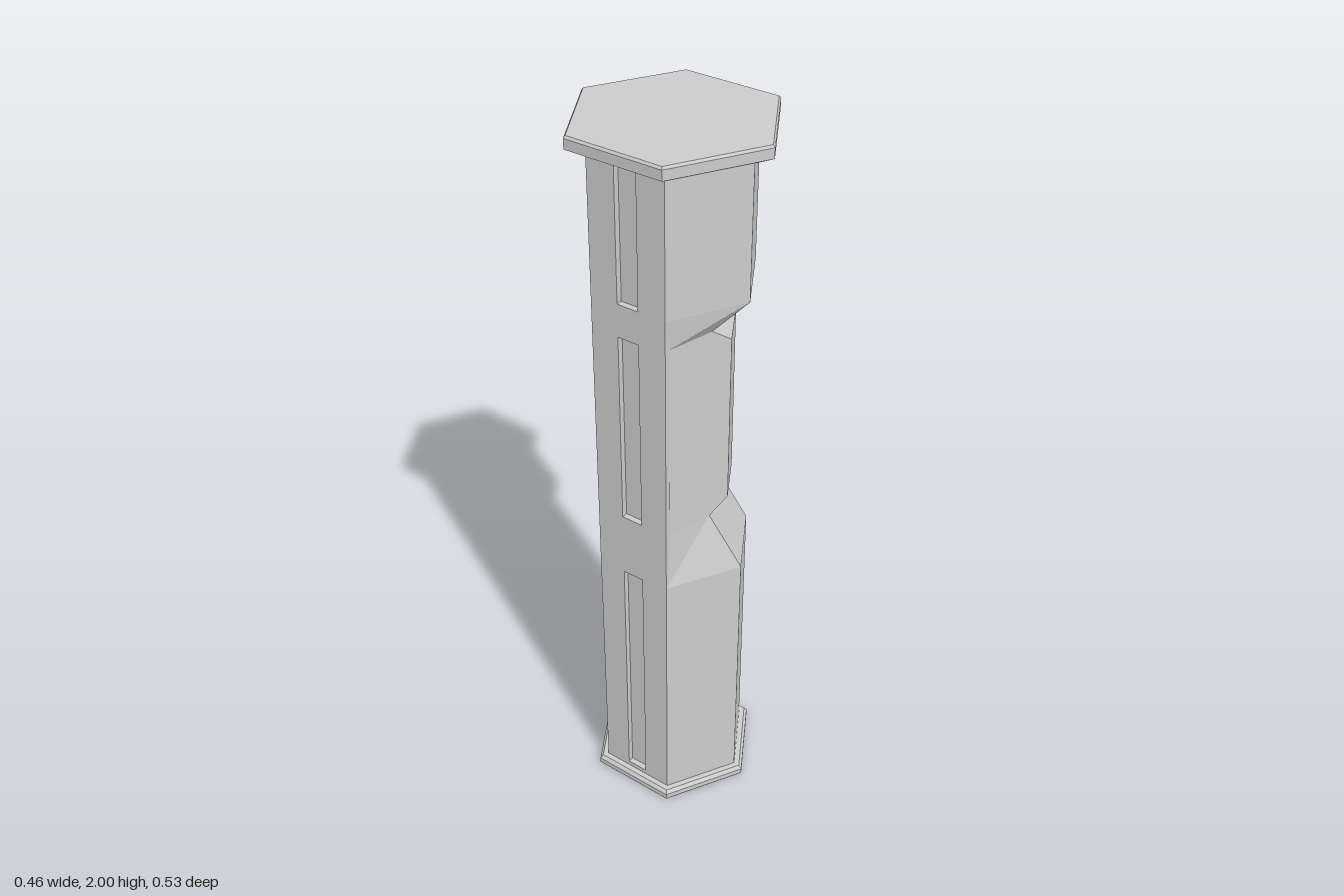
import * as THREE from 'three';

const R = 0.215;                 // circumradius of the hexagonal shaft, corners at +z and -z
const A = R * Math.sqrt(3) / 2;  // distance from axis to a flat
const DEPTH = 0.016;             // groove depth
const Y0 = 0.02, Y1 = 1.96;      // shaft ends

export function createModel() {
  const group = new THREE.Group();
  const mat = new THREE.MeshStandardMaterial({ color: 0xcccccc, flatShading: true });
  const add = (name, geo, parent = group) => {
    const mesh = new THREE.Mesh(geo, mat);
    mesh.name = name;
    parent.add(mesh);
    return mesh;
  };

  // Six-sided plates with bevelled rims
  const plate = (name, profile) =>
    add(name, new THREE.LatheGeometry(profile.map(p => new THREE.Vector2(...p)), 6));
  plate('basePlate', [[0, 0], [0.238, 0], [0.241, 0.004], [0.241, 0.02], [0.232, 0.03], [0, 0.035]]);
  plate('topCap', [[0, 1.95], [0.228, 1.95], [0.265, 1.968], [0.265, 1.994], [0.26, 2], [0, 2]]);

  // Inner half of the shaft, which forms the groove floors
  const r = R - DEPTH * 2 / Math.sqrt(3), a = A - DEPTH;
  const half = new THREE.Shape([[0, -r], [0, r], [-a, r / 2], [-a, -r / 2]]
    .map(p => new THREE.Vector2(...p)));
  const core = new THREE.ExtrudeGeometry(half, { depth: Y1 - Y0, bevelEnabled: false });
  core.rotateX(-Math.PI / 2).translate(0, Y0, 0);
  add('grooveFloor', core);

  // Three outer panels, each with a column of three slots
  const panel = new THREE.Shape([[-R / 2, Y0], [R / 2, Y0], [R / 2, Y1], [-R / 2, Y1]]
    .map(p => new THREE.Vector2(...p)));
  const w = 0.03;
  for (const [lo, hi] of [[0.045, 0.78], [0.965, 1.505], [1.595, 1.945]]) {
    panel.holes.push(new THREE.Path([[-w, lo], [-w, hi], [w, hi], [w, lo]]
      .map(p => new THREE.Vector2(...p))));
  }
  const panelGeo = new THREE.ExtrudeGeometry(panel, { depth: DEPTH, bevelEnabled: false });
  panelGeo.translate(0, 0, A - DEPTH);
  ['frontGroovedPanel', 'sideGroovedPanel', 'backGroovedPanel'].forEach((name, i) => {
    add(name, panelGeo).rotation.y = -Math.PI / 6 - i * Math.PI / 3;
  });

  // Notched half: mirrored sections lofted upwards
  // y, tip x, tip z, corner x, corner z, bulge y, bulge x
  const hex = y => [y, 0, R, A, R / 2, y, A];
  const neck = (y, by, bx) => [y, 0.004, 0.202, 0.1, 0.106, by, bx];
  const levels = [
    hex(Y0), hex(0.79),
    neck(0.955, 0.955, 0.1), neck(0.955, 0.995, 0.144),
    neck(1.51, 1.47, 0.144), neck(1.51, 1.51, 0.1),
    hex(1.595), hex(Y1),
  ];
  const rings = levels.map(([y, tx, tz, cx, cz, by, bx]) => {
    const side = [[tx, y, tz], [cx, y, cz], [bx, by, 0.072]];
    const mirrored = side.map(([x, py, z]) => [x, py, -z]).reverse();
    return [...side, ...mirrored].map(p => new THREE.Vector3(...p));
  });
  const pos = [];
  const tri = (...t) => {
    if (new THREE.Triangle(...t).getArea() > 1e-8) t.forEach(v => pos.push(v.x, v.y, v.z));
  };
  for (let i = 0; i < rings.length - 1; i++) {
    for (let j = 0; j < 5; j++) {
      const p = rings[i][j], q = rings[i][j + 1], s = rings[i + 1][j + 1], t = rings[i + 1][j];
      if (j < 3) { tri(p, q, s); tri(p, s, t); }
      else { tri(p, q, t); tri(q, s, t); }
    }
  }
  const notched = new THREE.BufferGeometry();
  notched.setAttribute('position', new THREE.Float32BufferAttribute(pos, 3));
  notched.computeVertexNormals();
  add('notchedShaft', notched);

  return group;
}
